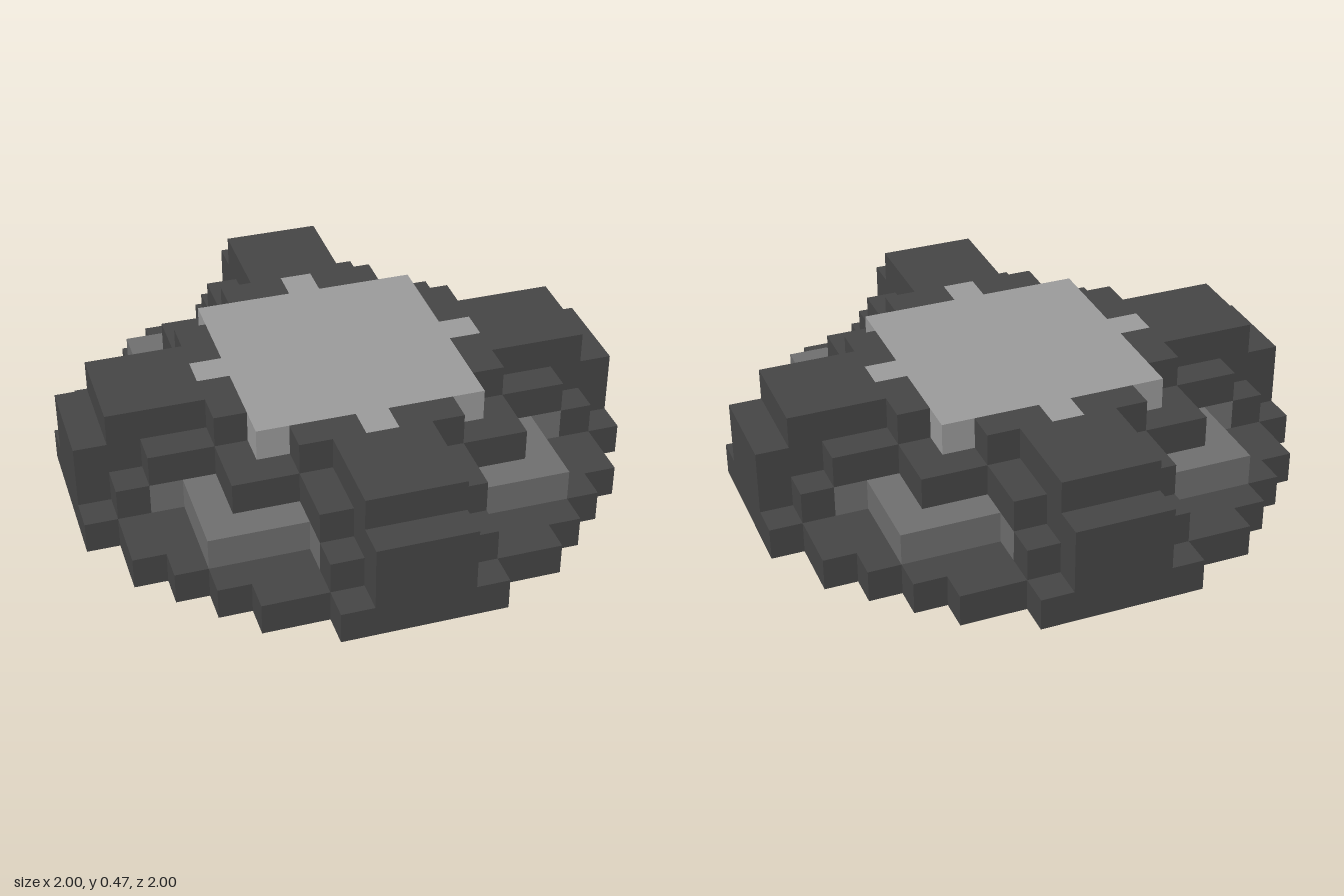
import * as THREE from 'three';

const U = 2 / 17; // edge of one block

// Full outline from one eighth: points run from the +x side to the diagonal.
function fourWay(eighth) {
  const back = eighth.slice(0, -1).reverse().map(([x, y]) => [y, x]);
  const quarter = [...eighth, ...back];
  const points = [];
  for (let i = 0; i < 4; i++) {
    for (const p of quarter) {
      let [x, y] = p;
      for (let k = 0; k < i; k++) [x, y] = [-y, x];
      points.push([x, y]);
    }
  }
  return points;
}

// One block-high slab with the given outline, on the given level.
function slab(name, outline, level, material) {
  const shape = new THREE.Shape(outline.map(([x, y]) => new THREE.Vector2(x * U, y * U)));
  const geometry = new THREE.ExtrudeGeometry(shape, { depth: U, bevelEnabled: false });
  geometry.rotateX(-Math.PI / 2);
  geometry.translate(0, level * U, 0);
  const mesh = new THREE.Mesh(geometry, material);
  mesh.name = name;
  return mesh;
}

export function createModel() {
  const dark = new THREE.MeshStandardMaterial({ name: 'darkGrey', color: 0x464646 });
  const mid = new THREE.MeshStandardMaterial({ name: 'midGrey', color: 0x6f6f6f });
  const light = new THREE.MeshStandardMaterial({ name: 'lightGrey', color: 0x9b9b9b });

  const model = new THREE.Group();
  model.name = 'steppedPlatform';

  // Round stepped base
  model.add(slab('base', fourWay([
    [8.5, 2.5], [7.5, 2.5], [7.5, 4.5], [6.5, 4.5], [6.5, 5.5], [5.5, 5.5],
  ]), 0, dark));

  // Cross-shaped body, notched for the corner bands
  model.add(slab('lowerBody', fourWay([
    [8.5, 1.5], [7.5, 1.5], [7.5, 2.5], [6.5, 2.5], [6.5, 1.5], [4.5, 1.5], [4.5, 4.5],
  ]), 1, dark));
  model.add(slab('upperBody', fourWay([
    [8.5, 1.5], [6.5, 1.5], [6.5, 2.5], [4.5, 2.5], [4.5, 4.5],
  ]), 2, dark));

  // Centre plate with four tabs
  model.add(slab('centrePlate', fourWay([[4.5, 0.5], [3.5, 0.5], [3.5, 3.5]]), 3, light));

  // Corner bands and arm tops, repeated on the four sides
  const band = [
    [6.5, 1.5], [6.5, 2.5], [5.5, 2.5], [5.5, 5.5], [2.5, 5.5],
    [2.5, 6.5], [1.5, 6.5], [1.5, 4.5], [4.5, 4.5], [4.5, 1.5],
  ];
  const arm = [
    [3.5, -2.5], [4.5, -2.5], [4.5, -1.5], [7.5, -1.5], [7.5, 1.5], [4.5, 1.5],
    [4.5, 2.5], [3.5, 2.5], [3.5, 0.5], [4.5, 0.5], [4.5, -0.5], [3.5, -0.5],
  ];
  for (let i = 0; i < 4; i++) {
    const side = new THREE.Group();
    side.name = 'side' + (i + 1);
    side.add(slab('cornerBand', band, 1, mid), slab('armTop', arm, 3, dark));
    side.rotation.y = i * Math.PI / 2;
    model.add(side);
  }
  return model;
}
